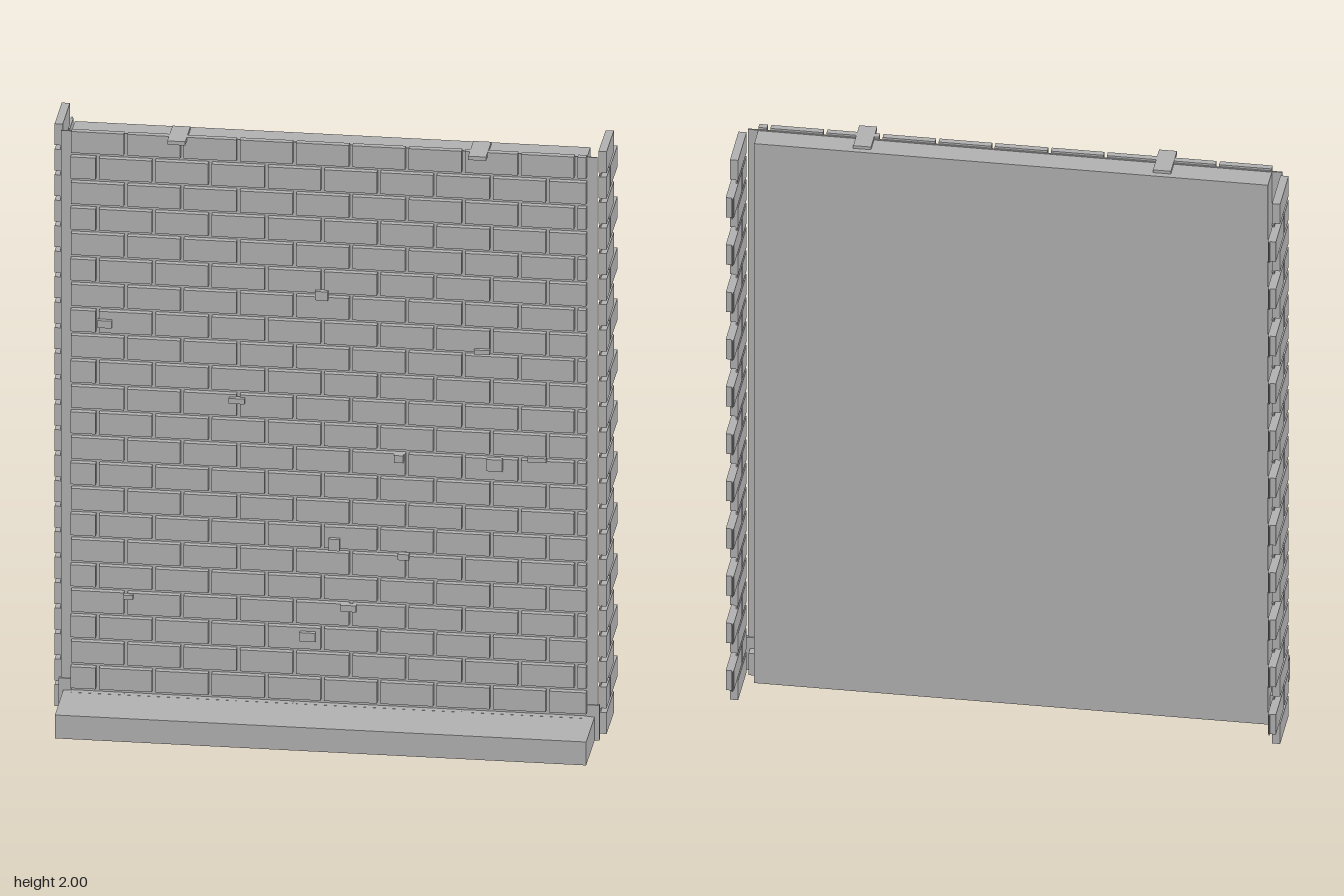
import * as THREE from 'three';

const ROWS = 23, PITCH = 0.0872, BRICK_H = 0.073, Y0 = 0.0075;
const LENGTH = 0.179, GAP = 0.011;

export function createModel() {
  const model = new THREE.Group();
  model.name = 'brickWallPanel';
  const grey = new THREE.MeshStandardMaterial({ color: 0xb0b0b0 });
  grey.name = 'plainGrey';

  // box given by its lower and upper limits on each axis
  function box(name, parent, x0, x1, y0, y1, z0, z1) {
    const mesh = new THREE.Mesh(new THREE.BoxGeometry(x1 - x0, y1 - y0, z1 - z0), grey);
    mesh.position.set((x0 + x1) / 2, (y0 + y1) / 2, (z0 + z1) / 2);
    mesh.name = name;
    parent.add(mesh);
    return mesh;
  }
  function group(name) {
    const g = new THREE.Group();
    g.name = name;
    model.add(g);
    return g;
  }

  // backing slab, mortar sheet and ledge at the foot
  box('backingSlab', model, -0.82, 0.82, 0, 1.99, -0.04, 0.04);
  box('mortarSheet', model, -0.853, 0.853, 0.005, 1.992, 0.04, 0.045);
  box('baseLedge', model, -0.845, 0.845, 0, 0.08, 0.005, 0.255);

  // front bricks in running bond, cut off at the wall ends
  const bricks = group('frontBricks');
  for (let row = 0; row < ROWS; row++) {
    const y = Y0 + row * PITCH;
    const start = (row % 2 ? -0.735 : -0.645) - LENGTH;
    for (let k = 0; k < 11; k++) {
      const x0 = Math.max(-0.82, start + k * LENGTH + GAP / 2);
      const x1 = Math.min(0.82, start + (k + 1) * LENGTH - GAP / 2);
      if (x1 - x0 > 0.01) box('frontBrick', bricks, x0, x1, y, y + BRICK_H, 0.045, 0.066);
    }
  }

  // toothed return on each side: alternate long and short courses
  for (const side of [-1, 1]) {
    const ret = group(side > 0 ? 'leftReturn' : 'rightReturn');
    const sideBox = (name, xa, xb, y0, y1, z0, z1) =>
      box(name, ret, Math.min(side * xa, side * xb), Math.max(side * xa, side * xb), y0, y1, z0, z1);

    sideBox('returnMortar', 0.855, 0.859, Y0, 1.998, -0.16, 0.008);
    for (let row = 0; row < ROWS; row++) {
      const y = Y0 + row * PITCH, top = y + BRICK_H;
      if (row % 2) {
        sideBox('halfBrick', 0.852, 0.878, y, top, -0.07, 0.01);
        sideBox('wholeBrick', 0.852, 0.878, y, top, -0.25, -0.081);
        sideBox('toothMortar', 0.855, 0.859, y, top, -0.259, -0.15);
      } else {
        sideBox('wholeBrick', 0.852, 0.878, y, top, -0.163, 0.01);
      }
    }
    // small tab beside the ledge, clip on the top edge
    sideBox('footTab', 0.82, 0.86, 0, 0.12, 0.036, 0.049);
    sideBox('topClip', 0.45, 0.507, 1.987, 2.0, -0.02, 0.105);
  }

  // small raised chips scattered over the face: x, y, width, height
  const chips = group('surfaceChips');
  [
    [-0.71, 1.35, 0.045, 0.025], [-0.02, 1.485, 0.04, 0.03], [0.49, 1.32, 0.05, 0.015],
    [-0.29, 1.11, 0.05, 0.018], [0.225, 0.94, 0.03, 0.025], [0.53, 0.935, 0.05, 0.04],
    [0.665, 0.96, 0.06, 0.015], [0.02, 0.635, 0.035, 0.04], [0.24, 0.605, 0.035, 0.02],
    [-0.635, 0.42, 0.03, 0.015], [0.065, 0.42, 0.05, 0.022], [-0.065, 0.315, 0.05, 0.03],
  ].forEach(([x, y, w, h]) =>
    box('chip', chips, x - w / 2, x + w / 2, y - h / 2, y + h / 2, 0.06, 0.08));

  return model;
}
